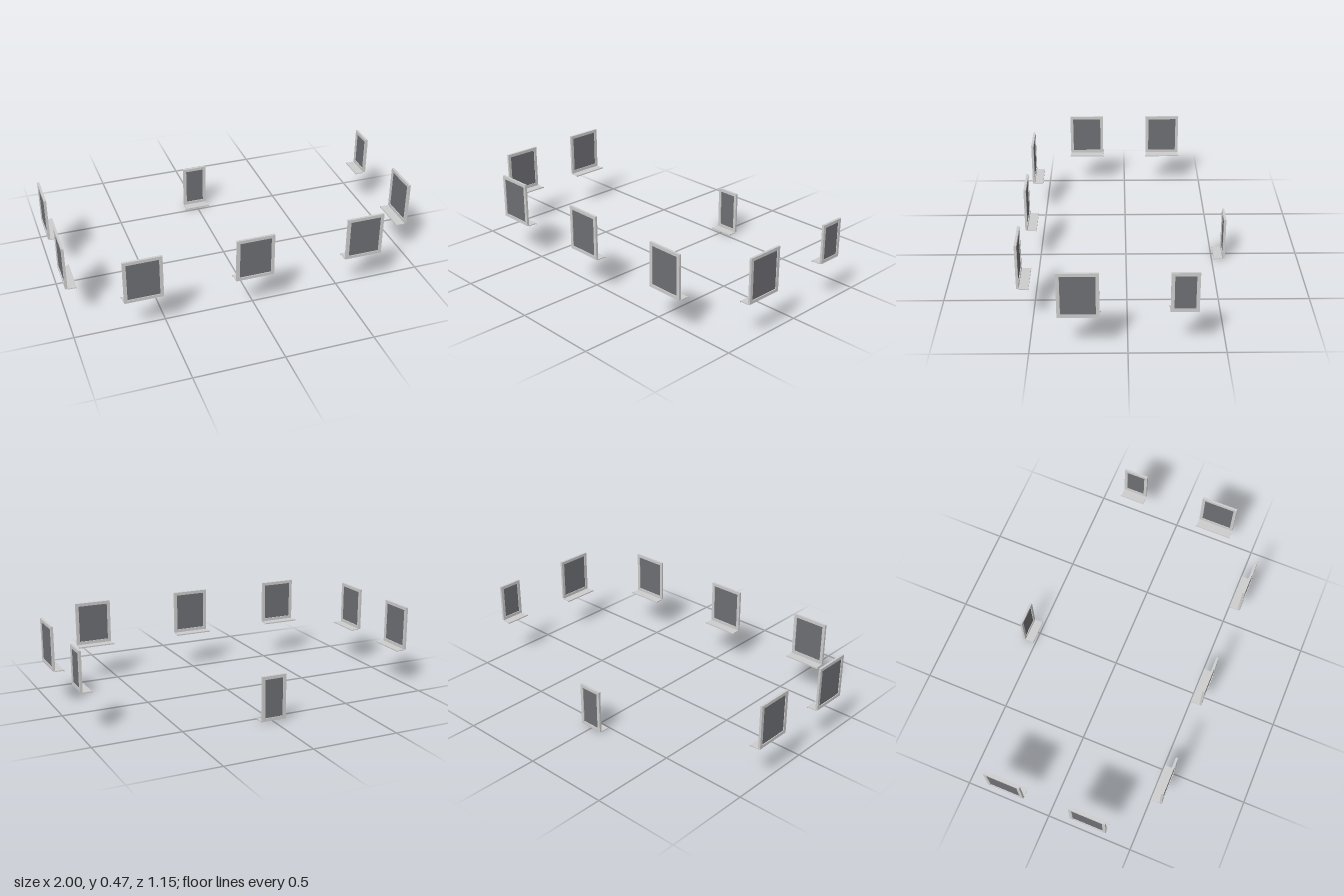
import * as THREE from 'three';

const frameMaterial = new THREE.MeshStandardMaterial({ color: 0xcccccc });
frameMaterial.name = 'light grey frame';
const glassMaterial = new THREE.MeshStandardMaterial({ color: 0x6d6e73 });
glassMaterial.name = 'dark grey glass';

const DEPTH = 0.013; // frame thickness
const BORDER = 0.018; // visible frame width
const SILL = 0.05; // how far the sill reaches inwards

function addBox(parent, name, material, size, position) {
  const mesh = new THREE.Mesh(new THREE.BoxGeometry(...size), material);
  mesh.name = name;
  mesh.position.set(...position);
  parent.add(mesh);
}

// One window: outside faces +z at z = 0, frame bottom at y = 0, sill to the inside
function makeWindow(name, w, h) {
  const group = new THREE.Group();
  group.name = name;

  // Rectangular frame with an opening
  const shape = new THREE.Shape();
  shape.moveTo(-w / 2, 0).lineTo(w / 2, 0).lineTo(w / 2, h).lineTo(-w / 2, h).closePath();
  const x = w / 2 - BORDER;
  const hole = new THREE.Path();
  hole.moveTo(-x, BORDER).lineTo(-x, h - BORDER).lineTo(x, h - BORDER).lineTo(x, BORDER).closePath();
  shape.holes.push(hole);
  const geometry = new THREE.ExtrudeGeometry(shape, { depth: DEPTH, bevelEnabled: false });
  geometry.translate(0, 0, -DEPTH);
  const frame = new THREE.Mesh(geometry, frameMaterial);
  frame.name = 'frame';
  group.add(frame);

  // Recessed pane
  addBox(group, 'glass', glassMaterial, [2 * x, h - 2 * BORDER, 0.004], [0, h / 2, -DEPTH / 2]);

  // Sill board with a slightly wider lip on its inner edge
  addBox(group, 'sill', frameMaterial, [w, 0.005, SILL - 0.003], [0, -0.0025, -DEPTH - (SILL - 0.003) / 2]);
  addBox(group, 'sillLip', frameMaterial, [w + 0.01, 0.007, 0.003], [0, -0.0035, -DEPTH - SILL + 0.0015]);
  return group;
}

export function createModel() {
  const model = new THREE.Group();
  model.name = 'windowSet';
  const W = 0.213, H = 0.254, NARROW = 0.143;

  // name, width, height, position, turn about y
  const windows = [
    ['frontRightWindow', W, H, [-0.628, 0.213, 0.576], 0],
    ['frontMiddleWindow', W, H, [-0.013, 0.213, 0.576], 0],
    ['frontLeftWindow', W, H, [0.62, 0.213, 0.576], 0],
    ['leftFrontWindow', W, H, [1, 0.213, 0.247], Math.PI / 2],
    ['leftBackWindow', NARROW, 0.223, [1, 0.244, -0.282], Math.PI / 2],
    ['rightFrontWindow', W, H, [-1, 0.213, 0.247], -Math.PI / 2],
    ['rightBackWindow', W, H, [-1, 0.213, -0.247], -Math.PI / 2],
    ['backLowWindow', NARROW, H, [-0.002, 0.007, -0.576], Math.PI],
  ];
  for (const [name, w, h, position, turn] of windows) {
    const part = makeWindow(name, w, h);
    part.position.set(...position);
    part.rotation.y = turn;
    model.add(part);
  }
  return model;
}
